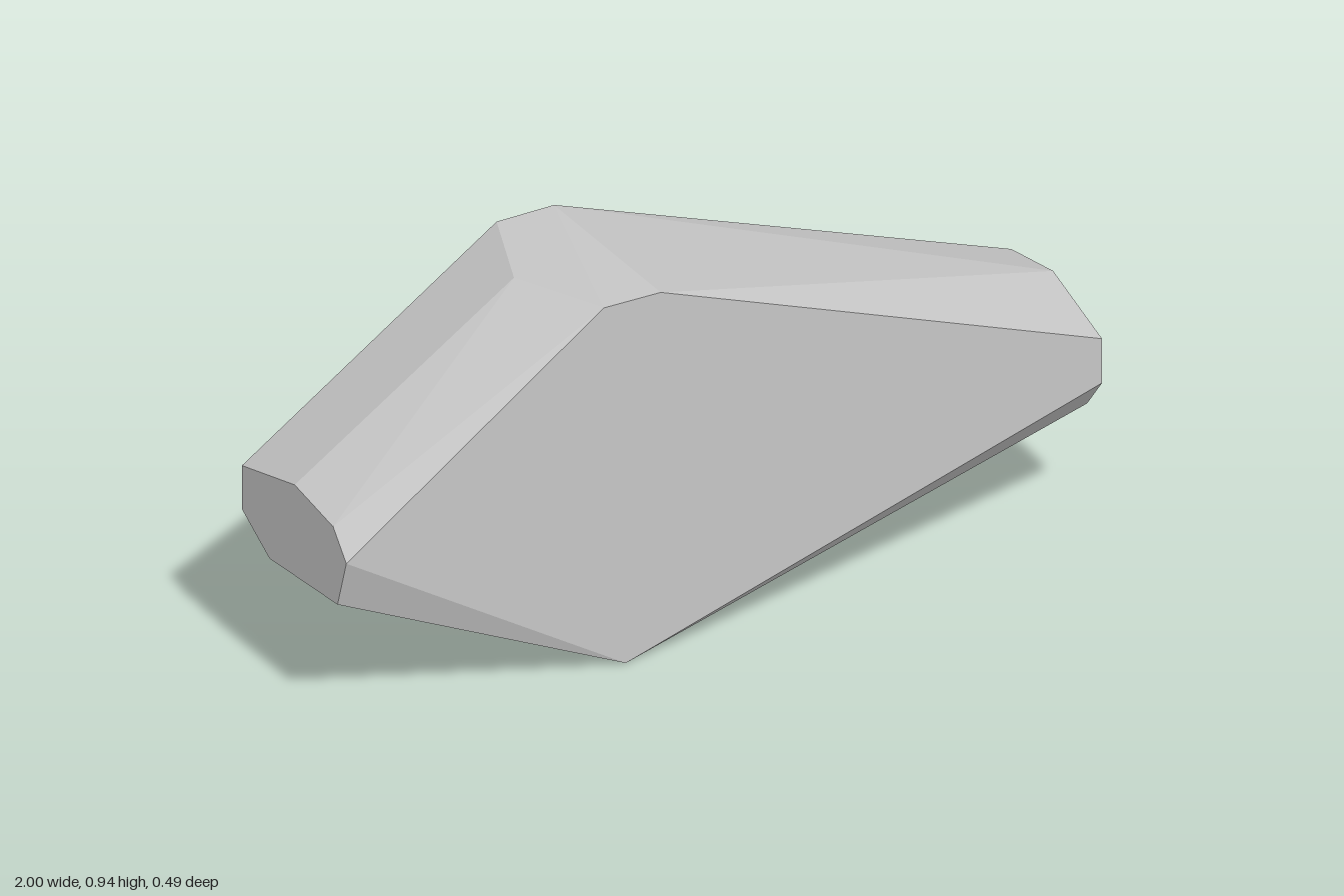
import * as THREE from 'three';
import { ConvexGeometry } from 'three/addons/geometries/ConvexGeometry.js';

// Corners as [y, z] of a ring lying at one x
const ring = (x, corners) => corners.map(([y, z]) => new THREE.Vector3(x, y, z));

export function createModel() {
  const group = new THREE.Group();
  group.name = 'rock';
  const stone = new THREE.MeshStandardMaterial({ color: 0xc6c6c6 });
  stone.name = 'stone grey';

  const points = [
    // cut right-hand tip
    ...ring(1, [[0.567, 0.015], [0.535, -0.175], [0.475, -0.24], [0.325, -0.215],
      [0.265, 0], [0.295, 0.17], [0.38, 0.238], [0.495, 0.238]]),
    // cut left-hand tip
    ...ring(-1, [[0.55, 0.005], [0.523, 0.18], [0.455, 0.24], [0.33, 0.2],
      [0.305, -0.11], [0.375, -0.235], [0.488, -0.235]]),
    // flat crown
    ...ring(-0.17, [[0.936, 0.243], [0.936, -0.243]]),
    ...ring(-0.32, [[0.936, 0.242], [0.932, -0.246]]),
    ...ring(-0.42, [[0.931, 0.005]]),
    // narrow underside
    ...ring(-0.265, [[0, 0.247]]),
    ...ring(-0.42, [[0.014, 0]]),
    ...ring(-0.33, [[0.014, -0.246]]),
    ...ring(-0.19, [[0.011, -0.246]]),
  ];

  // ConvexGeometry already gives every facet its own flat normal
  const body = new THREE.Mesh(new ConvexGeometry(points), stone);
  body.name = 'facetedStone';
  group.add(body);
  return group;
}
